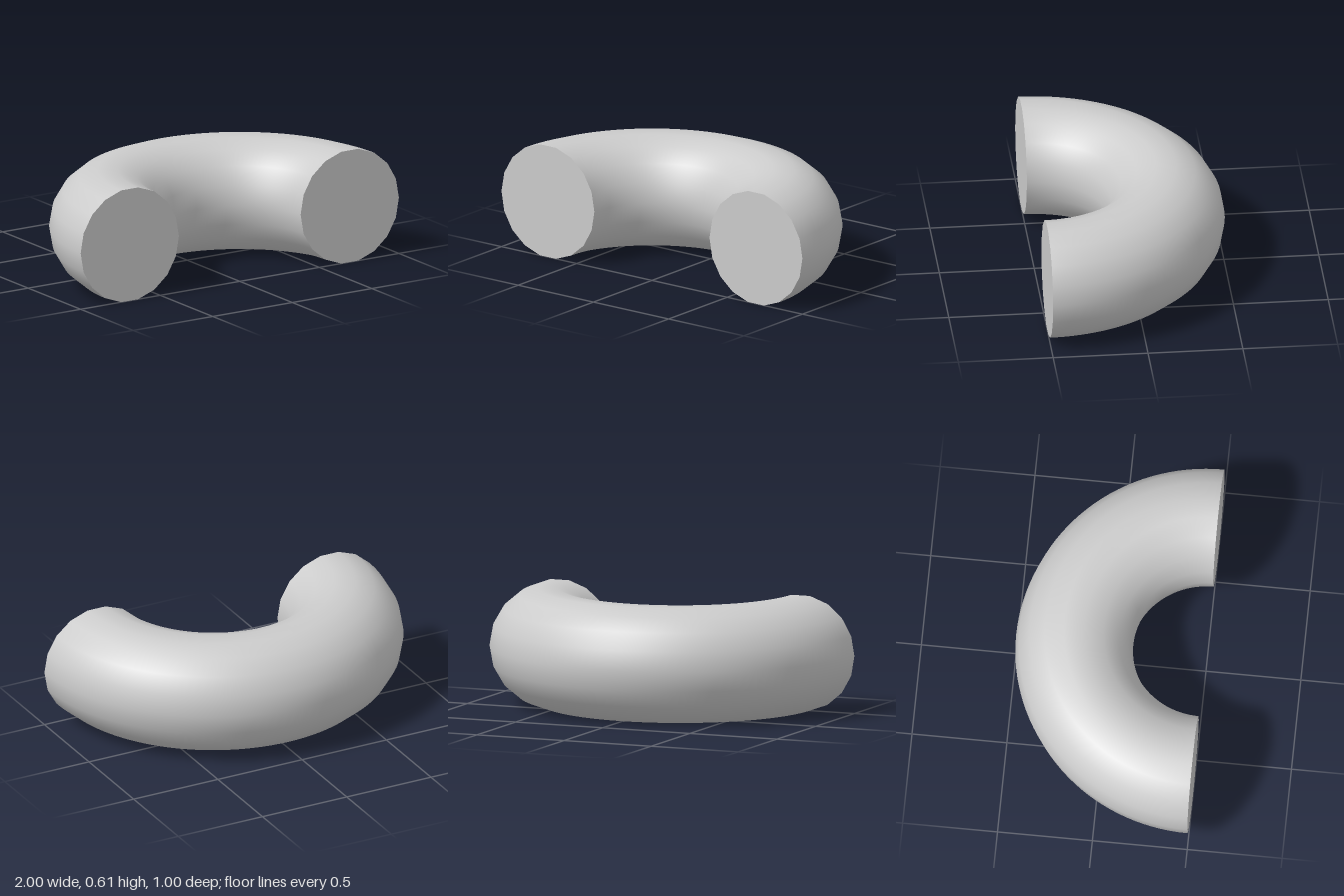
import * as THREE from 'three';

const TUBE = 0.3087;         // tube radius
const BEND = 1 - TUBE;       // bend radius of the centre line
const SIDES = 18;
const HALF_HEIGHT = TUBE * Math.sin(THREE.MathUtils.degToRad(80));

export function createModel() {
  const group = new THREE.Group();
  group.name = 'halfRing';
  const material = new THREE.MeshStandardMaterial({ color: 0xcccccc });

  // Half torus lying flat, bulging towards the back
  const bend = new THREE.Mesh(
    new THREE.TorusGeometry(BEND, TUBE, SIDES, 64, Math.PI).rotateX(-Math.PI / 2),
    material
  );
  bend.name = 'bentTube';
  bend.position.set(0, HALF_HEIGHT, 0.5);
  group.add(bend);

  // Flat discs closing both ends
  for (const side of [1, -1]) {
    const cap = new THREE.Mesh(new THREE.CircleGeometry(TUBE, SIDES), material);
    cap.name = side > 0 ? 'leftEndCap' : 'rightEndCap';
    cap.position.set(side * BEND, HALF_HEIGHT, 0.5);
    group.add(cap);
  }
  return group;
}
